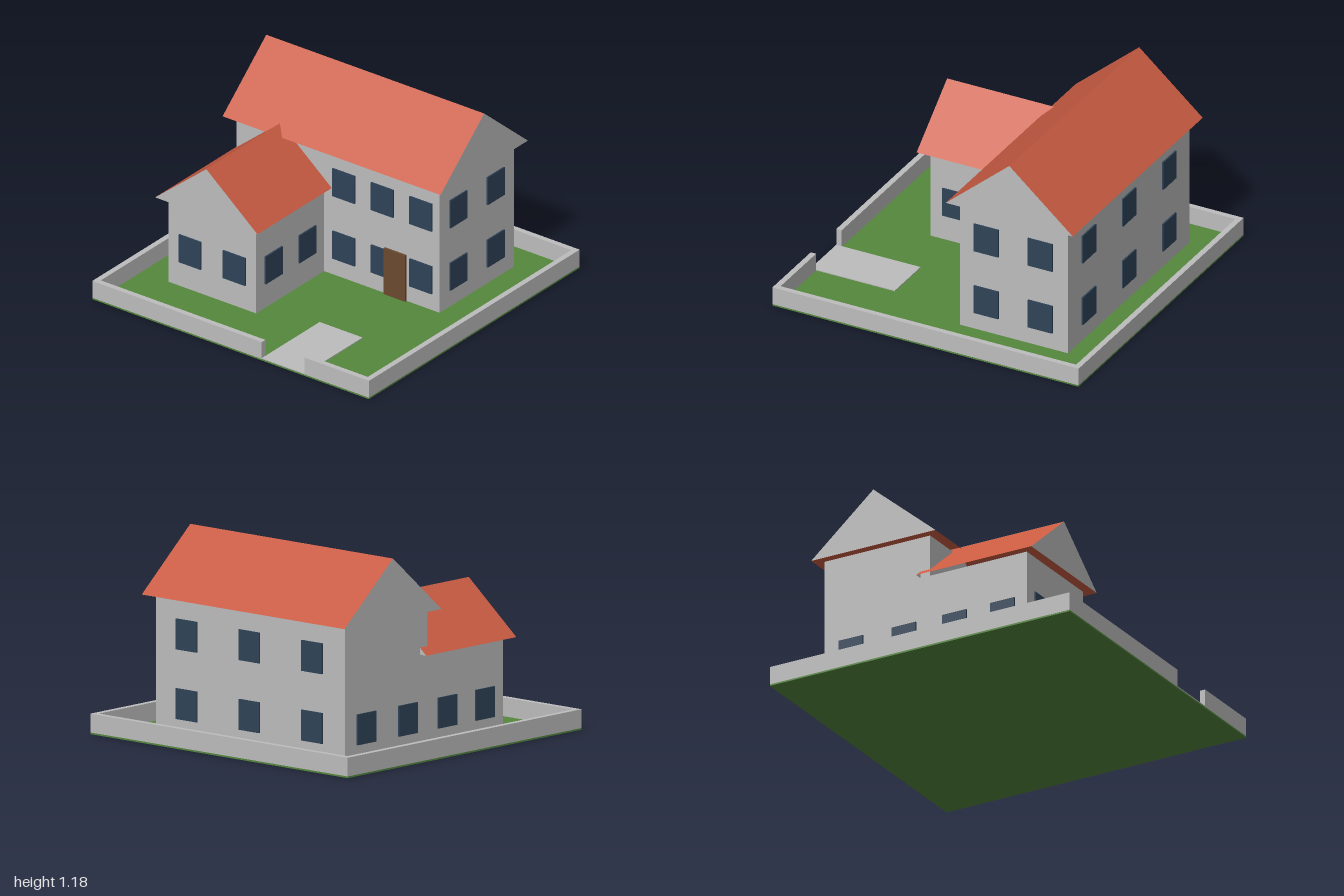
import * as THREE from 'three';

const mat = (name, color, side = THREE.FrontSide) => {
  const m = new THREE.MeshStandardMaterial({ color, side });
  m.name = name;
  return m;
};

export function createModel() {
  const model = new THREE.Group();
  model.name = 'house';
  const grey = mat('grey plaster', 0xbdbdbd, THREE.DoubleSide);
  const red = mat('red roof tile', 0xc85b42, THREE.DoubleSide);
  const green = mat('lawn green', 0x55883e);
  const glass = mat('window blue', 0x2f4358);
  const wood = mat('door brown', 0x6b4a2f);

  // Box given by its lower and upper corner
  const box = (name, m, [x0, y0, z0], [x1, y1, z1], parent = model) => {
    const mesh = new THREE.Mesh(new THREE.BoxGeometry(x1 - x0, y1 - y0, z1 - z0), m);
    mesh.position.set((x0 + x1) / 2, (y0 + y1) / 2, (z0 + z1) / 2);
    mesh.name = name;
    parent.add(mesh);
  };

  // Gable roof open underneath, ridge along z; red slopes and grey gable ends
  const roof = (name, width, height, length) => {
    const w = width / 2, l = length / 2;
    const surface = (part, m, points, index) => {
      const g = new THREE.BufferGeometry();
      g.setAttribute('position', new THREE.Float32BufferAttribute(points.flat(), 3));
      g.setIndex(index);
      const flat = g.toNonIndexed();
      flat.computeVertexNormals();
      const mesh = new THREE.Mesh(flat, m);
      mesh.name = part;
      return mesh;
    };
    const points = [[-w, 0, l], [w, 0, l], [0, height, l], [-w, 0, -l], [w, 0, -l], [0, height, -l]];
    const group = new THREE.Group();
    group.name = name;
    group.add(
      surface('roofSlopes', red, points, [1, 4, 5, 1, 5, 2, 3, 0, 2, 3, 2, 5]),
      surface('gables', grey, points, [0, 1, 2, 4, 3, 5]),
    );
    model.add(group);
    return group;
  };

  // Ground and drive
  box('lawn', green, [-1, 0, -1], [1, 0.01, 1]);
  box('drive', grey, [0.225, 0.01, 0.45], [0.535, 0.016, 1]);

  // Garden wall with a gap for the drive
  const wall = new THREE.Group();
  wall.name = 'gardenWall';
  model.add(wall);
  const low = 0.01, top = 0.12, inner = 0.965;
  box('backWall', grey, [-1, low, -1], [1, top, -inner], wall);
  for (const [a, b] of [[-1, -inner], [inner, 1]])
    box('sideWall', grey, [a, low, -inner], [b, top, inner], wall);
  for (const [a, b] of [[-1, 0.225], [0.535, 1]])
    box('frontWall', grey, [a, low, inner], [b, top, 1], wall);

  // House and front wing
  box('mainHouse', grey, [-0.77, 0.01, -0.77], [0.7, 0.825, -0.065]);
  box('frontWing', grey, [-0.77, 0.01, -0.065], [-0.135, 0.57, 0.58]);
  const mainRoof = roof('mainRoof', 0.83, 0.355, 1.575);
  mainRoof.rotation.y = Math.PI / 2;
  mainRoof.position.set(-0.0325, 0.825, -0.415);
  roof('wingRoof', 0.74, 0.305, 0.77).position.set(-0.45, 0.57, 0.255);

  // Windows, as thin plates on each wall
  const windows = new THREE.Group();
  windows.name = 'windows';
  model.add(windows);
  const half = 0.08, tall = 0.18, out = 0.0095;
  const facingZ = (z, dir, xs, ys) => {
    for (const x of xs) for (const y of ys)
      box('window', glass, [x - half, y, Math.min(z, z + dir * out)],
        [x + half, y + tall, Math.max(z, z + dir * out)], windows);
  };
  const facingX = (x, dir, zs, ys) => {
    for (const z of zs) for (const y of ys)
      box('window', glass, [Math.min(x, x + dir * out), y, z - half],
        [Math.max(x, x + dir * out), y + tall, z + half], windows);
  };
  const floors = [0.117, 0.525];
  facingZ(-0.065, 1, [0.01, 0.288, 0.567], floors);
  facingZ(-0.77, -1, [0.457, -0.03, -0.517], floors);
  facingX(0.7, 1, [-0.237, -0.59], floors);
  facingX(-0.77, -1, [-0.59, -0.237, 0.1, 0.42], [0.117]);
  facingZ(0.58, 1, [-0.61, -0.29], [0.168]);
  facingX(-0.135, 1, [0.1, 0.42], [0.168]);

  // Front door
  box('door', wood, [0.305, 0.01, -0.065], [0.46, 0.31, -0.05]);

  return model;
}
